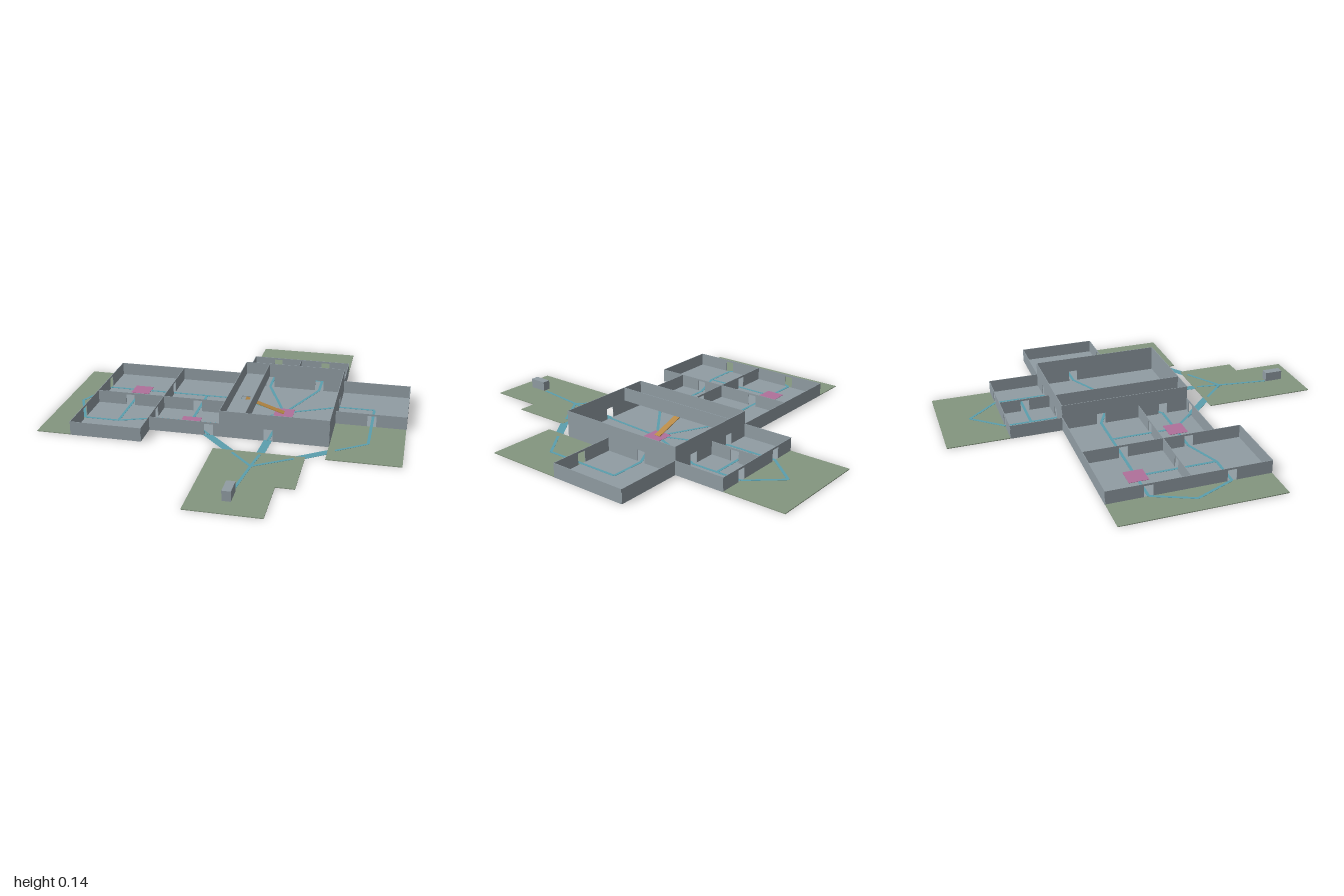
import * as THREE from 'three';

const mat = (name, color) => {
  const m = new THREE.MeshStandardMaterial({ color });
  m.name = name;
  return m;
};

export function createModel() {
  const model = new THREE.Group();
  model.name = 'floorPlan';
  const grey = mat('wallGrey', 0x909ca3);
  const green = mat('yardGreen', 0x84967f);
  const teal = mat('pathTeal', 0x5a9fae);
  const pink = mat('markerPink', 0xb0709a);
  const orange = mat('rampOrange', 0xb98a45);
  const SLAB = 0.004, T = 0.003, LOW = 0.072, TALL = 0.14, DOOR_W = 0.046, DOOR_H = 0.062;

  const add = (name, geometry, material, x = 0, y = 0, z = 0) => {
    const mesh = new THREE.Mesh(geometry, material);
    mesh.name = name;
    mesh.position.set(x, y, z);
    model.add(mesh);
    return mesh;
  };
  const slab = (name, material, x0, x1, z0, z1, y0 = 0, h = SLAB) =>
    add(name, new THREE.BoxGeometry(x1 - x0, h, z1 - z0), material, (x0 + x1) / 2, y0 + h / 2, (z0 + z1) / 2);

  // Thin wall with door notches; 'x' walls run along x at z = at, 'z' walls along z at x = at
  const wall = (axis, at, from, to, height, doors = [], base = 0) => {
    const s = new THREE.Shape();
    s.moveTo(from, base);
    for (const d of doors) {
      s.lineTo(d - DOOR_W / 2, base);
      s.lineTo(d - DOOR_W / 2, base + DOOR_H);
      s.lineTo(d + DOOR_W / 2, base + DOOR_H);
      s.lineTo(d + DOOR_W / 2, base);
    }
    s.lineTo(to, base);
    s.lineTo(to, height);
    s.lineTo(from, height);
    const g = new THREE.ExtrudeGeometry(s, { depth: T, bevelEnabled: false });
    g.translate(0, 0, -T / 2);
    if (axis === 'z') g.rotateY(-Math.PI / 2);
    add('wall', g, grey, axis === 'z' ? at : 0, 0, axis === 'x' ? at : 0);
  };

  // Room floors
  slab('westFloor', grey, -0.73, 0, -0.41, 0.27);
  slab('westFrontFloor', grey, -0.73, -0.365, 0.27, 0.41);
  slab('hallFloor', grey, 0, 0.545, -0.41, 0.27);
  slab('eastFloor', grey, 0.545, 0.905, -0.41, 0);
  slab('backFloor', grey, 0, 0.545, -0.68, -0.41);

  // Yards
  slab('westYard', green, -0.91, -0.73, -0.41, 0.41);
  slab('eastYard', green, 0.545, 0.905, 0, 0.41);
  slab('backYard', green, 0, 0.545, -1, -0.68);
  slab('frontYard', green, 0, 0.45, 0.41, 0.725);
  slab('frontYardEnd', green, 0, 0.36, 0.725, 1);

  // Low room walls
  wall('z', -0.73, -0.41, 0.41, LOW, [-0.205, 0.205]);
  wall('z', -0.365, -0.41, 0.41, LOW, [-0.205, 0.135]);
  wall('x', -0.41, -0.73, 0, LOW);
  wall('x', 0, -0.73, 0, LOW, [-0.55, -0.18]);
  wall('x', 0.41, -0.73, -0.365, LOW);
  wall('x', 0.27, -0.365, 0, LOW, [-0.055]);
  wall('x', -0.41, 0.545, 0.905, LOW);
  wall('z', 0.905, -0.41, 0, LOW);
  wall('x', 0, 0.545, 0.905, LOW, [0.73]);
  wall('x', -0.68, 0, 0.545, LOW, [0.135, 0.41]);
  for (const x of [0, 0.545]) wall('z', x, -0.68, -0.41, LOW);
  wall('z', 0.27, -0.68, -0.41, LOW, [-0.545]);

  // Tall hall walls
  wall('z', 0, -0.41, 0.27, TALL, [-0.205, 0.135]);
  wall('z', 0.545, -0.41, 0.27, TALL, [-0.205]);
  wall('x', -0.41, 0, 0.545, TALL, [0.135, 0.41]);
  wall('x', 0.27, 0, 0.545, TALL, [0.245]);

  // Gallery above the hall, with a hatch for the ramp
  const rect = (path, x0, x1, z0, z1) => path.setFromPoints(
    [[x0, z0], [x1, z0], [x1, z1], [x0, z1], [x0, z0]].map(p => new THREE.Vector2(...p)));
  const deck = rect(new THREE.Shape(), 0, 0.13, -0.41, 0.27);
  deck.holes.push(rect(new THREE.Path(), 0.042, 0.088, -0.093, -0.048));
  const deckGeo = new THREE.ExtrudeGeometry(deck, { depth: SLAB, bevelEnabled: false });
  deckGeo.rotateX(Math.PI / 2);
  add('galleryFloor', deckGeo, grey, 0, 0.072, 0);
  wall('z', 0.13, -0.41, 0.27, TALL, [], 0.068);

  // Ramp from the hall floor up to the hatch
  const run = 0.205, rise = 0.066;
  const ramp = add('ramp', new THREE.BoxGeometry(Math.hypot(run, rise), 0.004, 0.034), orange, 0.1675, 0.038, -0.07);
  ramp.rotation.z = -Math.atan2(rise, run);

  // Pink floor markers
  for (const [x, z] of [[-0.55, -0.205], [0.27, -0.07], [-0.185, 0.135]])
    slab('floorMarker', pink, x - 0.05, x + 0.05, z - 0.05, z + 0.05, SLAB, 0.0016);

  // Paths: wide bridges across the gap, narrow lines on the floors
  const path = (name, w, y, [x0, z0], [x1, z1]) => {
    const m = add(name, new THREE.BoxGeometry(Math.hypot(x1 - x0, z1 - z0), 0.001, w), teal, (x0 + x1) / 2, y, (z0 + z1) / 2);
    m.rotation.y = -Math.atan2(z1 - z0, x1 - x0);
  };
  path('bridge', 0.04, 0.003, [-0.075, 0.255], [0.1, 0.435]);
  path('bridge', 0.04, 0.003, [0.246, 0.25], [0.234, 0.43]);
  path('bridge', 0.04, 0.003, [0.58, 0.311], [0.4, 0.437]);

  const A = [-0.55, -0.205], B = [-0.18, -0.205], C = [-0.55, 0.205], D = [-0.18, 0.135];
  const hall = [0.27, -0.07], east = [0.73, -0.205], eastYard = [0.73, 0.205], back1 = [0.135, -0.545];
  const back2 = [0.41, -0.545], backYard = [0.27, -0.84], westYard = [-0.82, 0], front = [0.215, 0.555];
  const links = [
    [A, [-0.73, -0.205], westYard], [C, [-0.73, 0.205], westYard],
    [A, [-0.365, -0.205], B], [A, [-0.55, 0], C], [B, [-0.18, 0], D], [C, [-0.365, 0.135], D],
    [B, [0, -0.205], hall], [D, [0, 0.135], hall], [hall, [0.545, -0.205], east],
    [east, [0.73, 0], eastYard], [hall, [0.135, -0.41], back1], [hall, [0.41, -0.41], back2],
    [back1, [0.27, -0.545], back2], [back1, [0.135, -0.68], backYard], [back2, [0.41, -0.68], backYard],
    [D, [-0.055, 0.27]], [hall, [0.245, 0.27]], [[0.1, 0.435], front], [[0.234, 0.43], front],
    [[0.4, 0.437], front], [eastYard, [0.58, 0.311]], [front, [0.18, 0.82]],
  ];
  for (const link of links)
    for (let i = 1; i < link.length; i++) path('path', 0.014, SLAB + 0.0004, link[i - 1], link[i]);

  // Crate on the front yard
  slab('crate', grey, 0.158, 0.2, 0.815, 0.91, 0.012, 0.05);

  return model;
}
